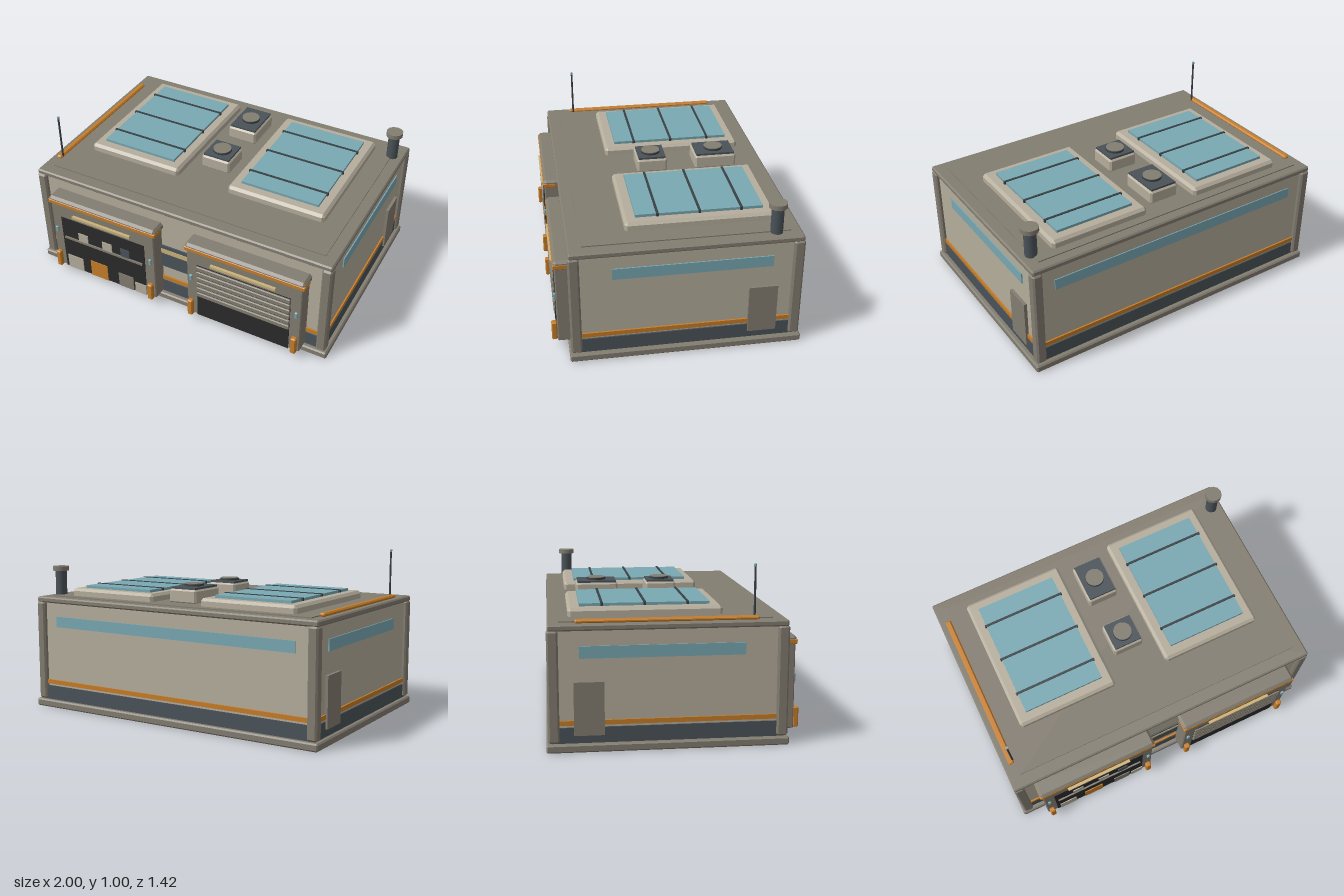
import * as THREE from 'three';
import { ConvexGeometry } from 'three/addons/geometries/ConvexGeometry.js';

const paint = (name, color) => {
  const m = new THREE.MeshStandardMaterial({ color });
  m.name = name;
  return m;
};

export function createModel() {
  const model = new THREE.Group();
  model.name = 'workshopBuilding';
  const wall = paint('wall beige', 0xb5ad9c);
  const trim = paint('trim grey', 0x837d71);
  const slate = paint('dark slate', 0x4a5359);
  const glass = paint('teal glass', 0x79a8b2);
  const orange = paint('safety orange', 0xc67d28);
  const black = paint('opening black', 0x2a2a2b);
  const lamp = paint('warm lamp', 0xc9b27c);
  const steel = paint('dark steel', 0x3a4146);

  const add = (name, geo, mat, parent = model) => {
    const m = new THREE.Mesh(geo, mat);
    m.name = name;
    parent.add(m);
    return m;
  };
  // box from min/max extents; c > 0 chamfers every edge
  const box = (name, mat, x0, x1, y0, y1, z0, z1, c = 0, parent = model) => {
    const h = [(x1 - x0) / 2, (y1 - y0) / 2, (z1 - z0) / 2];
    let geo;
    if (c > 0) {
      const pts = [];
      for (const sx of [-1, 1]) for (const sy of [-1, 1]) for (const sz of [-1, 1])
        for (let k = 0; k < 3; k++) {
          const p = h.map((v, i) => (i === k ? v : v - c));
          pts.push(new THREE.Vector3(sx * p[0], sy * p[1], sz * p[2]));
        }
      geo = new ConvexGeometry(pts);
    } else geo = new THREE.BoxGeometry(2 * h[0], 2 * h[1], 2 * h[2]);
    const m = add(name, geo, mat, parent);
    m.position.set((x0 + x1) / 2, (y0 + y1) / 2, (z0 + z1) / 2);
    return m;
  };
  const cyl = (name, mat, r, x, y0, y1, z, n = 12, parent = model) => {
    const m = add(name, new THREE.CylinderGeometry(r, r, y1 - y0, n), mat, parent);
    m.position.set(x, (y0 + y1) / 2, z);
    return m;
  };

  // shell: base slab, walls, plinth, stripe and roof
  box('baseSlab', trim, -1, 1, 0, 0.046, -0.712, 0.62, 0.008);
  box('walls', wall, -0.965, 0.965, 0.045, 0.67, -0.675, 0.585);
  box('plinth', slate, -0.973, 0.973, 0.046, 0.133, -0.683, 0.593);
  box('wallStripe', orange, -0.975, 0.975, 0.146, 0.172, -0.685, 0.595);
  box('roofSlab', trim, -0.987, 0.987, 0.665, 0.7, -0.697, 0.607, 0.008);
  box('roofPanel', trim, -0.915, 0.915, 0.698, 0.706, -0.635, 0.53);
  for (const s of [-1, 1]) for (const [z0, z1] of [[-0.702, -0.64], [0.55, 0.612]])
    box('cornerColumn', trim, s * 0.958 - 0.03, s * 0.958 + 0.03, 0.05, 0.668, z0, z1, 0.01);

  // side windows and doors, back window
  for (const s of [-1, 1]) {
    box('sideWindow', glass, s * 0.966 - 0.006, s * 0.966 + 0.006, 0.513, 0.58, -0.53, 0.373);
    box('sideDoor', trim, s * 0.972 - 0.012, s * 0.972 + 0.012, 0.09, 0.386, -0.562, -0.397);
  }
  box('backWindow', glass, -0.845, 0.845, 0.513, 0.58, -0.681, -0.67);

  // window panel between the bays
  box('centreWindow', slate, -0.13, 0.13, 0.255, 0.418, 0.58, 0.595);
  box('centreWindowBand', lamp, -0.13, 0.13, 0.362, 0.395, 0.59, 0.598);

  // two garage bays
  for (const s of [-1, 1]) {
    const bay = new THREE.Group();
    bay.name = s < 0 ? 'openBay' : 'shutterBay';
    bay.position.x = s * 0.483;
    model.add(bay);
    box('bayFrame', trim, -0.37, 0.37, 0.048, 0.545, 0.57, 0.68, 0.006, bay);
    box('bayCanopy', trim, -0.382, 0.382, 0.535, 0.588, 0.57, 0.685, 0.015, bay);
    box('canopyStripe', orange, -0.384, 0.384, 0.538, 0.567, 0.605, 0.688, 0.004, bay);
    box('bayOpening', black, -0.302, 0.302, 0.049, 0.448, 0.64, 0.683, 0, bay);
    box('bayLamp', lamp, -0.208, 0.208, 0.475, 0.492, 0.67, 0.697, 0, bay);
    for (const t of [-1, 1]) {
      box('signalLight', glass, t * 0.341 - 0.009, t * 0.341 + 0.009, 0.318, 0.36, 0.675, 0.692, 0.003, bay);
      box('bollard', orange, t * 0.341 - 0.017, t * 0.341 + 0.017, 0.05, 0.168, 0.68, 0.712, 0.006, bay);
    }
    if (s > 0) {
      // half-raised roller shutter
      for (let i = 0; i < 6; i++) {
        const y = 0.207 + i * 0.041;
        box('shutterSlat', trim, -0.302, 0.302, y, y + 0.032, 0.675, 0.693, 0.004, bay);
      }
    } else {
      // shelf and stored crates: [material, x0, x1, y0, y1]
      box('shelf', trim, -0.285, 0.285, 0.29, 0.304, 0.675, 0.692, 0, bay);
      const crates = [
        [wall, -0.18, -0.11, 0.304, 0.365], [wall, -0.004, 0.066, 0.304, 0.365],
        [slate, 0.13, 0.193, 0.304, 0.365], [wall, -0.282, -0.167, 0.05, 0.152],
        [orange, -0.107, 0.018, 0.05, 0.168], [trim, 0.102, 0.21, 0.05, 0.153],
        [wall, 0.222, 0.302, 0.05, 0.126],
      ];
      for (const [m, ...e] of crates) box('crate', m, ...e, 0.675, 0.688, 0, bay);
    }
  }

  // skylights
  for (const s of [-1, 1]) {
    const sky = new THREE.Group();
    sky.name = 'skylight';
    sky.position.x = s * 0.483;
    model.add(sky);
    box('skylightCurb', wall, -0.313, 0.313, 0.69, 0.753, -0.583, 0.278, 0.016, sky);
    box('skylightGlass', glass, -0.249, 0.249, 0.745, 0.769, -0.518, 0.212, 0, sky);
    for (const z of [-0.393, -0.153, 0.087])
      box('skylightBar', steel, -0.258, 0.258, 0.755, 0.773, z - 0.007, z + 0.007, 0, sky);
  }

  // roof ventilation units
  for (const [z0, z1] of [[-0.513, -0.255], [-0.08, 0.108]]) {
    const z = (z0 + z1) / 2;
    box('ventBody', wall, -0.096, 0.096, 0.7, 0.788, z0, z1, 0.012);
    box('ventTop', slate, -0.086, 0.086, 0.78, 0.798, z0 + 0.01, z1 - 0.01);
    cyl('ventFanRim', steel, 0.059, 0, 0.795, 0.81, z, 16);
    cyl('ventFan', trim, 0.057, 0, 0.805, 0.814, z, 16);
  }

  // chimney, antenna and roof conduit
  cyl('chimney', slate, 0.036, 0.914, 0.7, 0.86, -0.55);
  cyl('chimneyCap', trim, 0.052, 0.914, 0.857, 0.885, -0.55);
  cyl('antennaMast', steel, 0.006, -0.92, 0.7, 0.99, 0.427, 8);
  cyl('antennaTip', glass, 0.008, -0.92, 0.985, 1.0, 0.427, 8);
  box('roofConduit', orange, -0.952, -0.916, 0.698, 0.72, -0.55, 0.452, 0.008);

  return model;
}
